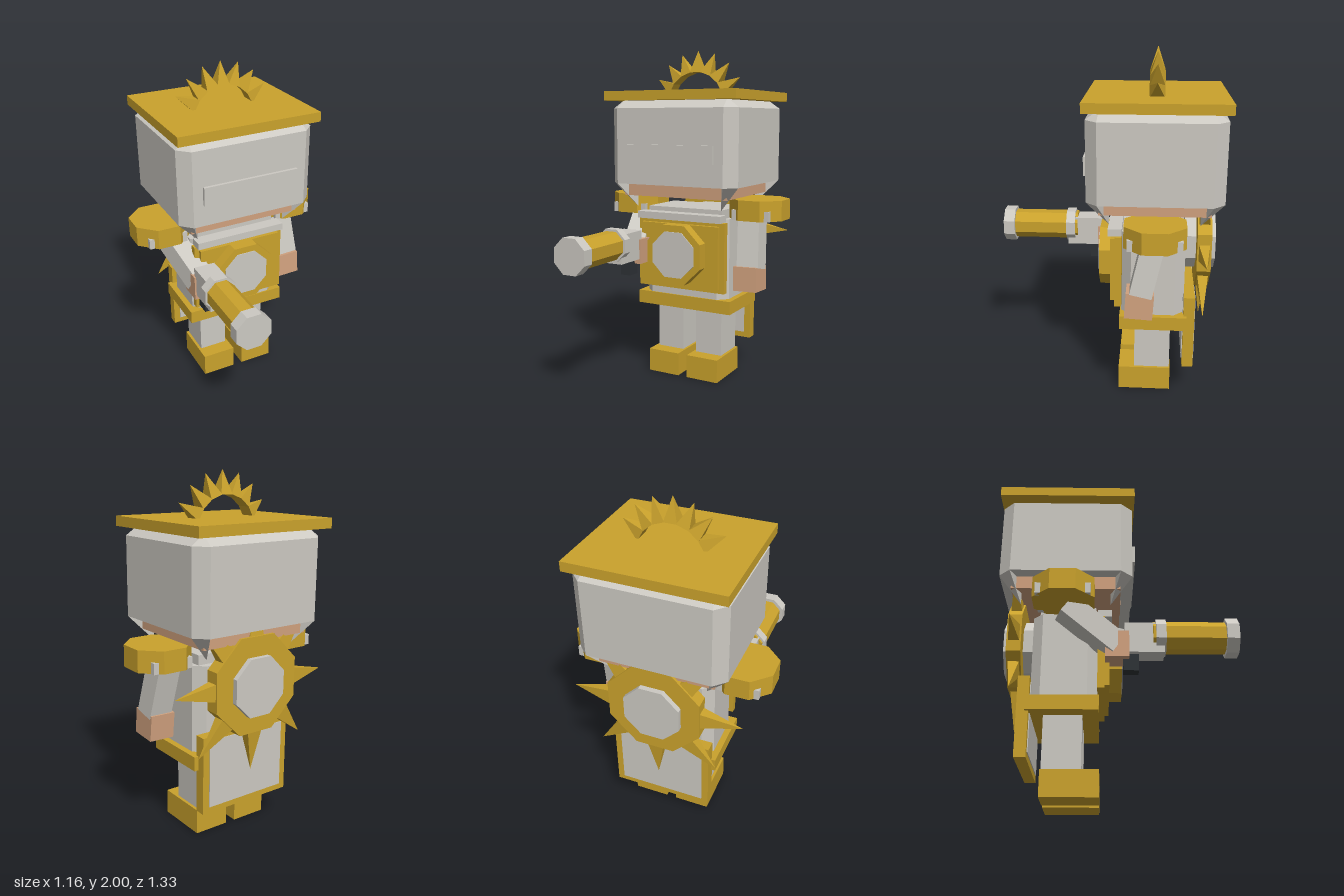
import * as THREE from 'three';
import { ConvexGeometry } from 'three/addons/geometries/ConvexGeometry.js';

const mat = (name, color) => {
  const m = new THREE.MeshStandardMaterial({ color });
  m.name = name;
  return m;
};

export function createModel() {
  const gold = mat('gold', 0xcaa22c);
  const steel = mat('pale steel', 0xccc9c2);
  const skin = mat('skin', 0xd0a17e);
  const black = mat('black grip', 0x2e3236);
  const root = new THREE.Group();
  root.name = 'armouredFigure';

  // Faceted mesh
  const add = (name, geo, material, parent = root) => {
    const g = geo.index ? geo.toNonIndexed() : geo;
    g.computeVertexNormals();
    const m = new THREE.Mesh(g, material);
    m.name = name;
    parent.add(m);
    return m;
  };
  // Box given by its limits on each axis
  const box = (name, material, x0, x1, y0, y1, z0, z1, parent) => {
    const g = new THREE.BoxGeometry(x1 - x0, y1 - y0, z1 - z0);
    g.translate((x0 + x1) / 2, (y0 + y1) / 2, (z0 + z1) / 2);
    return add(name, g, material, parent);
  };
  // Eight-sided disc or tube along z, a = half width across flats
  const octagon = (name, material, x, y, z0, z1, a, parent) => {
    const r = a / Math.cos(Math.PI / 8);
    const g = new THREE.CylinderGeometry(r, r, z1 - z0, 8);
    g.rotateY(Math.PI / 8).rotateX(Math.PI / 2).translate(x, y, (z0 + z1) / 2);
    return add(name, g, material, parent);
  };
  // Upright block with cut corners, rings = [y, halfX, halfZ, cut]
  const cutBlock = (name, material, cx, cz, rings, parent) => {
    const loops = rings.map(([y, w, d, c]) => [
      [w, d - c], [w - c, d], [c - w, d], [-w, d - c],
      [-w, c - d], [c - w, -d], [w - c, -d], [w, c - d],
    ].map(([x, z]) => [cx + x, y, cz + z]));
    const pos = [];
    const last = loops[loops.length - 1];
    for (let i = 0; i < 8; i++) {
      const j = (i + 1) % 8;
      for (let k = 0; k + 1 < loops.length; k++) {
        const [a, b, c, d] = [loops[k][i], loops[k][j], loops[k + 1][i], loops[k + 1][j]];
        pos.push(...a, ...c, ...b, ...b, ...c, ...d);
      }
      pos.push(cx, rings[0][0], cz, ...loops[0][i], ...loops[0][j]);
      pos.push(cx, last[0][1], cz, ...last[j], ...last[i]);
    }
    const g = new THREE.BufferGeometry();
    g.setAttribute('position', new THREE.Float32BufferAttribute(pos, 3));
    return add(name, g, material, parent);
  };
  // Four-sided ray pointing away from a centre in the xy plane
  const ray = (name, cx, cy, z, angle, r0, r1, width, depth, parent) => {
    const g = new THREE.ConeGeometry(Math.SQRT1_2, 1, 4);
    g.rotateY(Math.PI / 4).translate(0, 0.5, 0).scale(width, r1 - r0, depth);
    g.translate(0, r0, 0).rotateZ(-angle).translate(cx, cy, z);
    return add(name, g, gold, parent);
  };
  const group = (name) => {
    const g = new THREE.Group();
    g.name = name;
    root.add(g);
    return g;
  };

  // Head: face, helmet with pointed lower corners, flat top and sun crest
  const head = group('head');
  box('face', skin, -0.34, 0.34, 1.13, 1.25, -0.585, 0.025, head);
  box('mouth', skin, -0.065, 0.065, 1.175, 1.21, 0.02, 0.03, head);
  cutBlock('helmet', steel, 0, -0.28, [
    [1.205, 0.413, 0.372, 0.065], [1.65, 0.413, 0.372, 0.065], [1.695, 0.35, 0.31, 0.01],
  ], head);
  for (const sx of [-1, 1]) for (const sz of [-1, 1]) {
    const p = (x, y, z) => new THREE.Vector3(sx * x, y, -0.28 + sz * z);
    add('helmetCorner', new ConvexGeometry([
      p(0.413, 1.205, 0.307), p(0.348, 1.205, 0.372), p(0.28, 1.205, 0.25), p(0.28, 1.06, 0.25),
    ]), steel, head);
  }
  box('visor', steel, -0.29, 0.29, 1.335, 1.44, 0.08, 0.11, head);
  box('helmetTop', gold, -0.428, 0.428, 1.695, 1.75, -0.667, 0.107, head);
  for (let i = -4; i <= 4; i++) {
    ray('crestRay', 0, 1.68, -0.28, i * 0.357, 0.187, Math.abs(i) > 3 ? 0.2 : 0.317, 0.074, 0.085, head);
  }

  // Torso and belt
  const body = group('body');
  cutBlock('torso', steel, 0, -0.278, [[0.5, 0.28, 0.18, 0.055], [1.0, 0.28, 0.18, 0.055]], body);
  box('neckGuard', steel, -0.25, 0.25, 0.99, 1.055, -0.42, -0.11, body);
  box('collarBar', steel, -0.28, 0.28, 0.988, 1.03, -0.1, -0.022, body);
  box('belt', gold, -0.315, 0.315, 0.435, 0.515, -0.475, -0.09, body);

  // Breastplate with its round badge
  box('breastplate', gold, -0.29, 0.29, 0.565, 0.985, -0.1, -0.06, body);
  box('breastplatePanel', gold, -0.26, 0.26, 0.59, 0.965, -0.06, -0.035, body);
  octagon('badge', gold, 0, 0.79, -0.035, 0.035, 0.177, body);
  octagon('badgeGem', steel, 0, 0.79, 0.033, 0.04, 0.137, body);

  // Sun disc on the back
  const sun = group('backSun');
  octagon('sunDisc', gold, 0, 0.895, -0.6, -0.52, 0.265, sun);
  octagon('sunCentre', steel, 0, 0.89, -0.63, -0.455, 0.16, sun);
  for (let i = 0; i < 8; i++) {
    ray('sunRay', 0, 0.895, -0.56, i * Math.PI / 4, 0.25, 0.495, 0.1, 0.065, sun);
  }

  // Hanging panel below the sun disc
  box('backPanelFrame', gold, -0.29, 0.29, 0.19, 0.63, -0.52, -0.457, sun);
  for (const z of [-0.522, -0.455]) {
    box('backPanelInset', steel, -0.25, 0.25, 0.225, 0.61, z - 0.003, z + 0.003, sun);
  }

  for (const s of [-1, 1]) {
    // Legs and boots
    const leg = group(s > 0 ? 'leftLeg' : 'rightLeg');
    const span = (a, b) => (s > 0 ? [a, b] : [-b, -a]);
    box('shin', steel, ...span(0.045, 0.22), 0.13, 0.45, -0.385, -0.177, leg);
    box('boot', gold, ...span(0.03, 0.237), 0, 0.142, -0.39, -0.085, leg);

    // Shoulder guards with small studs
    const shoulder = group(s > 0 ? 'leftShoulder' : 'rightShoulder');
    cutBlock('shoulderGuard', gold, s * 0.415, -0.284,
      [[1.0, 0.165, 0.166, 0.097], [1.12, 0.165, 0.166, 0.097]], shoulder);
    for (const dx of [-0.1, 0.1]) for (const dz of [-0.13, 0.13]) {
      const x = s * 0.415 + dx, z = -0.284 + dz;
      box('stud', steel, x - 0.017, x + 0.017, 1.0, 1.06, z - 0.017, z + 0.017, shoulder);
    }
  }

  // Left arm hanging down
  const leftArm = group('leftArm');
  const sleeve = add('leftSleeve', new THREE.BoxGeometry(0.135, 0.32, 0.125), steel, leftArm);
  sleeve.position.set(0.385, 0.86, -0.245);
  sleeve.rotation.set(-0.22, 0, 0.08);
  const hand = add('leftHand', new THREE.BoxGeometry(0.147, 0.145, 0.155), skin, leftArm);
  hand.position.set(0.391, 0.648, -0.205);
  hand.rotation.set(-0.06, 0, 0.03);

  // Right arm reaching forward
  const rightArm = group('rightArm');
  const from = new THREE.Vector3(-0.37, 1.0, -0.28);
  const to = new THREE.Vector3(-0.285, 0.8, 0.0);
  const reach = add('rightSleeve', new THREE.BoxGeometry(0.13, 0.13, from.distanceTo(to)), steel, rightArm);
  reach.position.copy(from).add(to).multiplyScalar(0.5);
  reach.lookAt(to);
  box('rightHand', skin, -0.35, -0.205, 0.72, 0.87, -0.06, 0.07, rightArm);

  // Hand cannon
  const cannon = group('handCannon');
  box('receiver', steel, -0.34, -0.213, 0.75, 0.923, 0.045, 0.26, cannon);
  box('grip', black, -0.312, -0.246, 0.655, 0.75, 0.038, 0.122, cannon);
  octagon('barrel', gold, -0.278, 0.86, 0.2, 0.61, 0.082, cannon);
  octagon('barrelRing', steel, -0.278, 0.86, 0.215, 0.27, 0.095, cannon);
  octagon('muzzle', steel, -0.278, 0.86, 0.595, 0.663, 0.101, cannon);

  return root;
}
